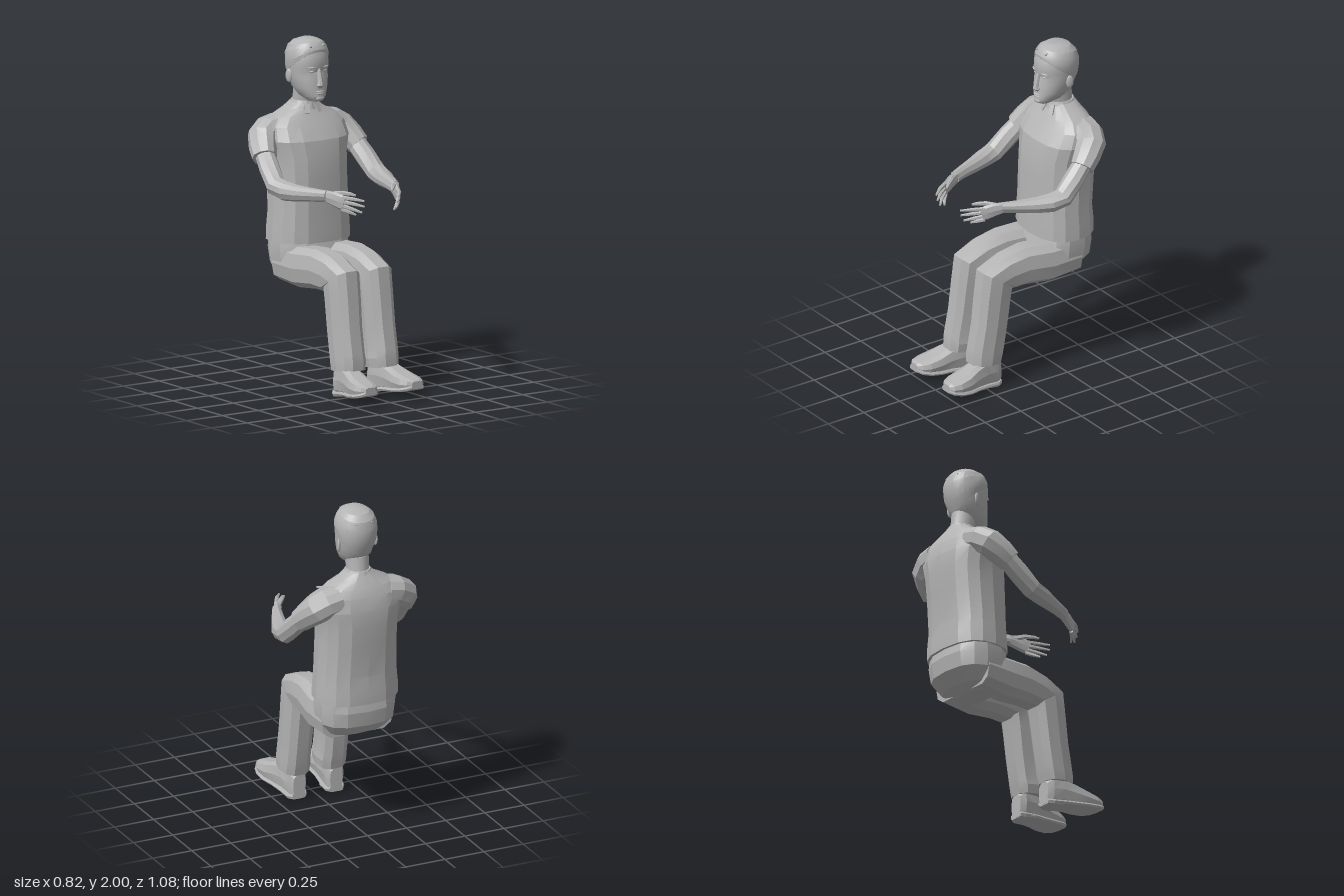
import * as THREE from 'three';
import { toCreasedNormals } from 'three/addons/utils/BufferGeometryUtils.js';

const V = (x, y, z) => new THREE.Vector3(x, y, z);
const grey = new THREE.MeshStandardMaterial({ color: 0xb4b4b4 });
grey.name = 'plain grey';

// Skin a list of point rings, capped at both ends; s = -1 mirrors in x
function skin(rings, s = 1, crease = 0.25) {
  const n = rings[0].length, pos = [], idx = [];
  const quad = (a, b, c) => idx.push(...(s > 0 ? [a, b, c] : [a, c, b]));
  rings.flat().forEach(p => pos.push(p.x * s, p.y, p.z));
  for (let i = 0; i < rings.length - 1; i++) {
    for (let j = 0; j < n; j++) {
      const a = i * n + j, b = i * n + (j + 1) % n;
      quad(a, b, b + n);
      quad(a, b + n, a + n);
    }
  }
  const last = (rings.length - 1) * n;
  for (let j = 1; j < n - 1; j++) {
    quad(0, j + 1, j);
    quad(last, last + j, last + j + 1);
  }
  const g = new THREE.BufferGeometry();
  g.setAttribute('position', new THREE.Float32BufferAttribute(pos, 3));
  g.setIndex(idx);
  return toCreasedNormals(g, crease);
}

// Rounded-box cross-section in the plane of u and v
function ring(c, u, v, a, b, n, pow) {
  const f = t => Math.sign(t) * Math.abs(t) ** pow;
  return Array.from({ length: n }, (_, j) => {
    const t = (j / n) * Math.PI * 2;
    return c.clone().addScaledVector(u, a * f(Math.cos(t))).addScaledVector(v, b * f(Math.sin(t)));
  });
}

// Level sections: [y, half width, front z, back z]
const stack = (rows, n, pow) => rows.map(([y, w, zf, zb]) =>
  ring(V(0, y, (zf + zb) / 2), V(0, 0, 1), V(1, 0, 0), (zf - zb) / 2, w, n, pow));

// Limb along a path: [x, y, z, radius towards ref, radius across]
function limb(rows, ref, n = 10, pow = 0.85) {
  const p = rows.map(r => V(r[0], r[1], r[2]));
  return rows.map(([, , , a, b], i) => {
    const w = p[Math.min(i + 1, p.length - 1)].clone().sub(p[Math.max(i - 1, 0)]).normalize();
    const u = ref.clone().addScaledVector(w, -ref.dot(w)).normalize();
    return ring(p[i], u, w.clone().cross(u), a, b ?? a, n, pow);
  });
}

const headRows = [
  [1.645, 0.04, -0.215, -0.3], [1.67, 0.068, -0.202, -0.38], [1.72, 0.095, -0.208, -0.432],
  [1.78, 0.108, -0.213, -0.455], [1.815, 0.112, -0.222, -0.465], [1.845, 0.115, -0.213, -0.47],
  [1.9, 0.116, -0.217, -0.47], [1.945, 0.104, -0.232, -0.452], [1.975, 0.078, -0.25, -0.42],
  [1.992, 0.03, -0.3, -0.37],
];
function headAt(y) {
  let i = 0;
  while (i < headRows.length - 2 && headRows[i + 1][0] < y) i++;
  const A = headRows[i], B = headRows[i + 1];
  const t = Math.min((y - A[0]) / (B[0] - A[0]), 1);
  return A.map((v, k) => v + (B[k] - v) * t);
}

export function createModel() {
  const model = new THREE.Group();
  model.name = 'seatedMan';
  const add = (name, geo) => {
    const m = new THREE.Mesh(geo, grey);
    m.name = name;
    model.add(m);
    return m;
  };
  const blob = (name, x, y, z, sx, sy, sz, ry = 0) => {
    const m = add(name, new THREE.SphereGeometry(1, 12, 8));
    m.position.set(x, y, z);
    m.scale.set(sx, sy, sz);
    m.rotation.y = ry;
  };

  // Shirt body and hips
  add('shirt', skin(stack([
    [0.83, 0.25, -0.148, -0.52], [0.9, 0.248, -0.15, -0.52], [1.0, 0.24, -0.155, -0.512],
    [1.2, 0.235, -0.158, -0.53], [1.32, 0.238, -0.165, -0.54], [1.42, 0.262, -0.185, -0.54],
    [1.5, 0.25, -0.235, -0.522], [1.55, 0.2, -0.27, -0.5], [1.59, 0.12, -0.295, -0.475],
    [1.625, 0.072, -0.305, -0.455]], 16, 0.8)));
  add('hips', skin(stack([
    [0.585, 0.13, -0.22, -0.36], [0.62, 0.19, -0.17, -0.43], [0.69, 0.23, -0.15, -0.5],
    [0.78, 0.24, -0.145, -0.513], [0.86, 0.235, -0.17, -0.5]], 14, 0.8)));

  // Neck, collar and head
  add('neck', skin(stack([
    [1.56, 0.07, -0.305, -0.46], [1.63, 0.064, -0.3, -0.445], [1.72, 0.07, -0.26, -0.438]], 16, 1), 1, 0.6));
  add('collar', skin(stack([
    [1.585, 0.095, -0.285, -0.475], [1.635, 0.07, -0.3, -0.453]], 16, 0.95)));
  add('head', skin(stack(headRows, 24, 0.92), 1, 0.5));

  // Hair follows the skull, low at the nape and high at the forehead
  const hair = [0, 0.2, 0.4, 0.6, 0.8, 0.93, 1].map(k => Array.from({ length: 24 }, (_, j) => {
    const t = (j / 24) * Math.PI * 2, front = (1 + Math.cos(t)) / 2;
    const base = 1.72 + 0.21 * front ** 0.8;
    const y = base + (1.99 - base) * k;
    const [, w, zf, zb] = headAt(y);
    const f = v => Math.sign(v) * Math.abs(v) ** 0.92;
    const grow = k === 0 ? 1.01 : 1.05;
    return V(w * grow * f(Math.sin(t)), y + 0.01 * k,
      (zf + zb) / 2 + ((zf - zb) / 2) * grow * f(Math.cos(t)));
  }));
  add('hair', skin(hair, 1, 0.4));

  // Face
  add('nose', skin(stack([
    [1.722, 0.014, -0.203, -0.235], [1.738, 0.023, -0.185, -0.235], [1.755, 0.017, -0.187, -0.235],
    [1.835, 0.011, -0.211, -0.24]], 8, 1), 1, 0.6));
  blob('upperLip', 0, 1.702, -0.21, 0.032, 0.006, 0.012);
  blob('lowerLip', 0, 1.69, -0.21, 0.027, 0.007, 0.011);
  blob('chin', 0, 1.662, -0.213, 0.03, 0.016, 0.014);

  for (const s of [1, -1]) {
    const side = s > 0 ? 'left' : 'right';
    const part = (name, rings, crease) => add(side + name, skin(rings, s, crease));

    blob(side + 'Brow', s * 0.045, 1.842, -0.23, 0.03, 0.007, 0.014, s * 0.25);
    blob(side + 'Eye', s * 0.043, 1.818, -0.236, 0.018, 0.007, 0.013, s * 0.25);
    blob(side + 'Ear', s * 0.115, 1.785, -0.36, 0.01, 0.04, 0.023, s * -0.35);
    part('HairRidge', limb([
      [0.045, 1.962, -0.235, 0.006], [0.042, 1.983, -0.32, 0.009], [0.05, 1.968, -0.41, 0.008],
      [0.05, 1.935, -0.455, 0.004]], V(1, 0, 0), 6));
    const flap = add(side + 'CollarPoint', new THREE.BoxGeometry(0.03, 0.06, 0.008));
    flap.position.set(s * 0.036, 1.592, -0.287);
    flap.rotation.set(-0.5, s * 0.3, s * 0.25);

    // Arm
    const up = V(0.5, 1, 0).normalize(), y = V(0, 1, 0);
    part('Sleeve', limb([
      [0.15, 1.48, -0.41, 0.085, 0.1], [0.22, 1.467, -0.41, 0.085, 0.095], [0.27, 1.435, -0.395, 0.085, 0.09],
      [0.305, 1.385, -0.345, 0.077, 0.08], [0.327, 1.338, -0.298, 0.068, 0.07]], up));
    part('Arm', limb([
      [0.31, 1.375, -0.335, 0.056], [0.333, 1.28, -0.235, 0.06], [0.35, 1.2, -0.15, 0.058],
      [0.34, 1.183, -0.07, 0.053, 0.056], [0.312, 1.18, 0.01, 0.045, 0.047],
      [0.27, 1.184, 0.12, 0.038, 0.034], [0.235, 1.186, 0.2, 0.035, 0.026]], up));

    // Hand, edge down with fingers curving inward
    part('Palm', limb([
      [0.236, 1.186, 0.19, 0.034, 0.023], [0.217, 1.177, 0.24, 0.042, 0.02],
      [0.198, 1.162, 0.285, 0.045, 0.016], [0.188, 1.155, 0.307, 0.041, 0.012]], y, 8));
    [[0.12, 1.18, 0.41], [0.115, 1.146, 0.405], [0.118, 1.108, 0.385], [0.132, 1.09, 0.345]]
      .forEach(([tx, ty, tz], i) => {
        const k = V(0.197, 1.19 - 0.023 * i, 0.29), mid = k.clone().lerp(V(tx, ty, tz), 0.55);
        part('Finger' + (i + 1), limb([
          [k.x, k.y, k.z, 0.012], [mid.x + 0.006, mid.y + 0.003, mid.z, 0.011],
          [tx, ty, tz, 0.006]], y, 6));
      });
    part('Thumb', limb([
      [0.218, 1.2, 0.225, 0.017], [0.175, 1.21, 0.27, 0.014], [0.145, 1.207, 0.31, 0.011],
      [0.125, 1.2, 0.332, 0.006]], y, 6));

    // Trouser leg, bent at the knee
    part('TrouserLeg', limb([
      [0.125, 0.7, -0.37, 0.105, 0.11], [0.122, 0.698, -0.18, 0.112, 0.122], [0.114, 0.712, -0.02, 0.102, 0.12],
      [0.113, 0.7, 0.09, 0.096, 0.112], [0.112, 0.675, 0.165, 0.09, 0.125], [0.113, 0.56, 0.182, 0.088, 0.111],
      [0.115, 0.4, 0.203, 0.086, 0.108], [0.116, 0.25, 0.23, 0.085, 0.11], [0.114, 0.21, 0.237, 0.089, 0.108],
      [0.116, 0.16, 0.243, 0.084, 0.102]], V(1, 0, 0), 10, 0.75));

    // Shoe sections: [z, x, half width, bottom y, top y]
    const shoe = [
      [0.147, 0.118, 0.04, 0.012, 0.15], [0.18, 0.12, 0.06, 0.01, 0.19], [0.25, 0.127, 0.065, 0.022, 0.2],
      [0.33, 0.14, 0.068, 0.032, 0.178], [0.4, 0.15, 0.078, 0.038, 0.15], [0.47, 0.156, 0.077, 0.048, 0.132],
      [0.515, 0.16, 0.06, 0.06, 0.122], [0.533, 0.162, 0.034, 0.072, 0.112]];
    const slice = (z, x, w, lo, hi, pow) =>
      ring(V(x, (lo + hi) / 2, z), V(1, 0, 0), V(0, 1, 0), w, (hi - lo) / 2, 10, pow);
    part('Shoe', shoe.map(([z, x, w, lo, hi]) => slice(z, x, w, lo, hi, 0.65)));
    part('Sole', shoe.map(([z, x, w, lo], i) =>
      slice(z + (i === 7 ? 0.006 : 0), x, w + 0.005, lo - 0.004, lo + 0.022, 0.4)));
    part('Heel', [[0.148, 0.042, 0.002], [0.18, 0.062, 0], [0.245, 0.066, 0.01]]
      .map(([z, w, lo]) => slice(z, 0.121, w, lo, 0.035, 0.4)));
  }
  return model;
}
